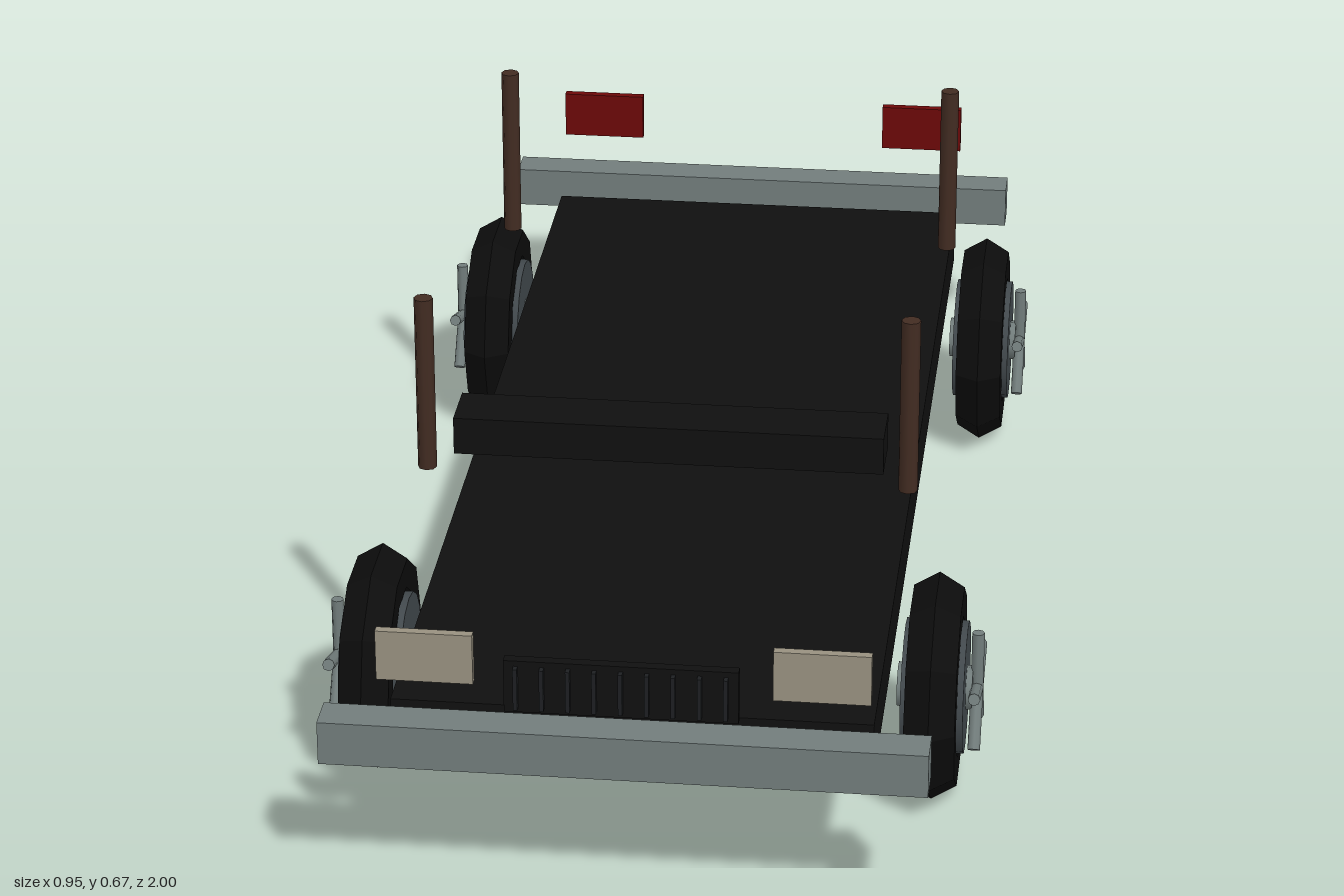
import * as THREE from 'three';

const mat = (name, color, opts = {}) => {
  const m = new THREE.MeshStandardMaterial({ color, ...opts });
  m.name = name;
  return m;
};

export function createModel() {
  const black = mat('chassis black', 0x101010);
  const rubber = mat('tyre rubber', 0x0c0c0c, { flatShading: true });
  const rimGrey = mat('rim dark grey', 0x42494d);
  const steel = mat('steel grey', 0x727d7c);
  const slatGrey = mat('slat grey', 0x1d1f22);
  const cream = mat('headlight cream', 0x989180);
  const red = mat('taillight red', 0x6c0808);
  const brown = mat('pillar brown', 0x422c22);

  const root = new THREE.Group();
  root.name = 'carFrame';

  const add = (parent, name, geo, material, x = 0, y = 0, z = 0) => {
    const m = new THREE.Mesh(geo, material);
    m.name = name;
    m.position.set(x, y, z);
    parent.add(m);
    return m;
  };
  // Box given by its limits on each axis
  const box = (name, material, x0, x1, y0, y1, z0, z1) =>
    add(root, name, new THREE.BoxGeometry(x1 - x0, y1 - y0, z1 - z0), material,
      (x0 + x1) / 2, (y0 + y1) / 2, (z0 + z1) / 2);

  // Floor, bumpers and dashboard
  box('chassis', black, -0.338, 0.338, 0.166, 0.254, -0.886, 0.88);
  box('frontBumper', steel, -0.421, 0.421, 0.21, 0.275, 0.937, 0.994);
  box('rearBumper', steel, -0.421, 0.421, 0.21, 0.275, -1.0, -0.943);
  box('dashboard', black, -0.314, 0.314, 0.418, 0.475, 0.352, 0.438);

  // Grille with nine upright slats
  box('grille', black, -0.161, 0.161, 0.307, 0.386, 0.975, 0.99);
  for (let i = -4; i <= 4; i++) {
    const x = i * 0.036;
    box('grilleSlat', slatGrey, x - 0.003, x + 0.003, 0.315, 0.378, 0.985, 1.0);
  }

  // Lamps and roof pillars on both sides
  const pillarGeo = new THREE.CylinderGeometry(0.014, 0.014, 0.27, 8);
  for (const s of [-1, 1]) {
    const a = s * 0.273;
    box('headlight', cream, a - 0.067, a + 0.067, 0.336, 0.411, 0.959, 0.972);
    box('taillight', red, a - 0.067, a + 0.067, 0.336, 0.411, -0.977, -0.963);
    for (const z of [0.451, -0.412]) add(root, 'pillar', pillarGeo, brown, s * 0.351, 0.537, z);
  }

  // Wheel with its axle along x, outer face towards +x
  const tyreGeo = new THREE.TorusGeometry(0.1245, 0.042, 6, 10).rotateY(Math.PI / 2);
  const rimGeo = new THREE.CylinderGeometry(0.0965, 0.0965, 0.09, 16).rotateZ(Math.PI / 2);
  const hubGeo = new THREE.CylinderGeometry(0.032, 0.032, 0.108, 12).rotateZ(Math.PI / 2);
  const spokeGeo = new THREE.CylinderGeometry(0.009, 0.009, 0.09, 8).translate(0, 0.045, 0);
  const wheel = (name) => {
    const g = new THREE.Group();
    g.name = name;
    add(g, 'tyre', tyreGeo, rubber);
    add(g, 'rim', rimGeo, rimGrey);
    add(g, 'hub', hubGeo, steel);
    for (let i = 0; i < 5; i++) {
      add(g, 'spoke', spokeGeo, steel, 0.06).rotation.x = (i / 5) * Math.PI * 2;
    }
    return g;
  };
  for (const s of [-1, 1]) {
    for (const [name, z] of [['frontWheel', 0.588], ['rearWheel', -0.594]]) {
      const w = wheel(name);
      w.position.set(s * 0.405, 0.1583, z);
      if (s < 0) w.rotation.y = Math.PI;
      root.add(w);
    }
  }

  return root;
}
